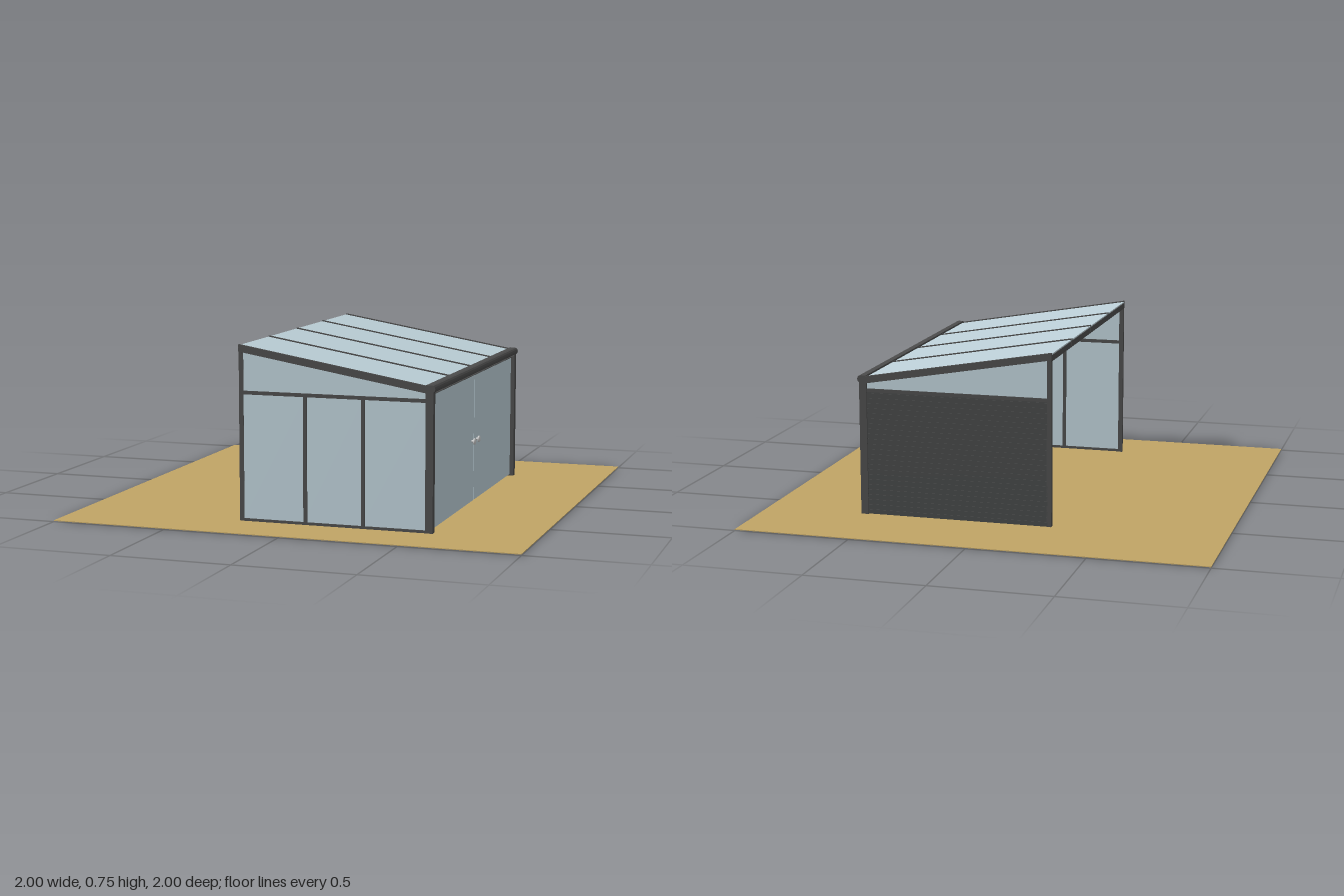
import * as THREE from 'three';

const mat = (color, side = THREE.FrontSide) => new THREE.MeshStandardMaterial({ color, side });
const frameMat = mat(0x4c4c4c);
const slatMat = mat(0x454747);
const glassMat = mat(0xbdd0d8, THREE.DoubleSide);
const groundMat = mat(0xc0a465, THREE.DoubleSide);
const knobMat = mat(0xcccccc);

// Overall extents of the shelter
const LEFT = -0.262, RIGHT = 0.575, FRONT = 0.76, BACK = -0.635;
const roofY = (x) => 0.745 - (x - LEFT) * 0.172;

export function createModel() {
  const root = new THREE.Group();
  root.name = 'glassShelter';

  const add = (name, geo, material, parent = root) => {
    const m = new THREE.Mesh(geo, material);
    m.name = name;
    parent.add(m);
    return m;
  };
  // Box given by its minimum and maximum corners
  const box = (name, x0, x1, y0, y1, z0, z1, material = frameMat, parent = root) => {
    const m = add(name, new THREE.BoxGeometry(x1 - x0, y1 - y0, z1 - z0), material, parent);
    m.position.set((x0 + x1) / 2, (y0 + y1) / 2, (z0 + z1) / 2);
    return m;
  };
  // Outline in x/y extruded along z
  const prism = (name, points, z0, z1, material, parent = root) => {
    const shape = new THREE.Shape(points.map(([x, y]) => new THREE.Vector2(x, y)));
    const geo = new THREE.ExtrudeGeometry(shape, { depth: z1 - z0, bevelEnabled: false });
    const m = add(name, geo, material, parent);
    m.position.z = z0;
    return m;
  };

  // Ground
  box('ground', -1, 1, 0.003, 0.006, -1, 1, groundMat);

  // Sloping rafters and the glass panes between them
  const rafters = [0.752, 0.405, 0.06, -0.286, -0.628];
  rafters.forEach((z, i) => {
    const outer = i === 0 || i === rafters.length - 1;
    const x1 = 0.56, h = 0.03;
    prism('rafter', [[LEFT, roofY(LEFT) - h], [x1, roofY(x1) - h], [x1, roofY(x1)], [LEFT, roofY(LEFT)]],
      z - 0.007, z + 0.007, frameMat);
    if (!outer || i === 0) {
      const a = roofY(LEFT) - 0.004, b = roofY(0.55) - 0.004;
      prism('roofPane', [[LEFT, a - 0.005], [0.55, b - 0.005], [0.55, b], [LEFT, a]],
        rafters[i + 1] + 0.007, z - 0.007, glassMat);
    }
  });

  // High beam on the open side, and low beam with its rounded gutter
  box('ridgeBeam', LEFT + 0.001, LEFT + 0.016, 0.708, 0.733, BACK, FRONT);
  const gutter = [[0.545, 0.575], [0.575, 0.575]];
  for (let i = 0; i <= 6; i++) {
    const t = -Math.PI / 2 + (i / 6) * Math.PI;
    gutter.push([0.567 + 0.016 * Math.cos(t), 0.594 + 0.016 * Math.sin(t)]);
  }
  gutter.push([0.545, 0.61]);
  prism('gutter', gutter, BACK, FRONT, frameMat);

  // Corner posts
  for (const [z0, z1] of [[FRONT - 0.028, FRONT], [BACK, BACK + 0.03]]) {
    box('cornerPost', 0.543, RIGHT, 0.006, 0.58, z0, z1);
    box('wallPost', LEFT, LEFT + 0.02, 0, 0.735, z0 + 0.006, z1 - 0.006);
  }

  // Gable glazing above the rail at both ends
  for (const z of [0.75, -0.622]) {
    box('gableRail', LEFT + 0.01, 0.55, 0.538, 0.553, z - 0.008, z + 0.008);
    prism('gablePane', [[-0.245, 0.55], [0.545, 0.55], [0.545, roofY(0.545) - 0.02], [-0.245, roofY(-0.245) - 0.02]],
      z - 0.003, z + 0.003, glassMat);
  }

  // Front wall: three glass panels in a frame
  const front = new THREE.Group();
  front.name = 'frontWall';
  root.add(front);
  box('bottomRail', LEFT + 0.01, 0.55, 0, 0.017, 0.742, 0.758, frameMat, front);
  for (const x of [0.028, 0.278]) box('mullion', x - 0.008, x + 0.008, 0, 0.545, 0.742, 0.758, frameMat, front);
  const edges = [-0.245, 0.02, 0.27, 0.545];
  for (let i = 0; i < 3; i++) {
    box('frontPane', edges[i], edges[i + 1] + 0.008, 0.015, 0.54, 0.747, 0.753, glassMat, front);
  }

  // Back wall: panel clad with horizontal slats on both faces
  const back = new THREE.Group();
  back.name = 'backWall';
  root.add(back);
  box('backPanel', -0.245, 0.545, 0.006, 0.54, -0.626, -0.618, slatMat, back);
  const rows = 24, pitch = 0.53 / rows;
  for (let i = 0; i < rows; i++) {
    const y = 0.008 + i * pitch;
    box('slat', -0.245, 0.545, y, y + pitch * 0.8, -0.629, -0.615, slatMat, back);
  }

  // Side wall: two glass doors with round knobs
  const doors = new THREE.Group();
  doors.name = 'sideDoors';
  root.add(doors);
  for (const [z0, z1, knobZ] of [[0.066, 0.726, 0.1], [-0.598, 0.06, 0.025]]) {
    box('doorPane', 0.553, 0.559, 0.014, 0.565, z0, z1, glassMat, doors);
    for (const s of [-1, 1]) {
      const stem = add('knobStem', new THREE.CylinderGeometry(0.005, 0.005, 0.012, 12), knobMat, doors);
      stem.rotation.z = Math.PI / 2;
      stem.position.set(0.556 + s * 0.008, 0.28, knobZ);
      const knob = add('knob', new THREE.SphereGeometry(0.014, 20, 14), knobMat, doors);
      knob.scale.x = 0.5;
      knob.position.set(0.556 + s * 0.016, 0.28, knobZ);
    }
  }
  box('doorHeader', 0.545, 0.565, 0.568, 0.58, BACK, FRONT, frameMat, doors);
  return root;
}
